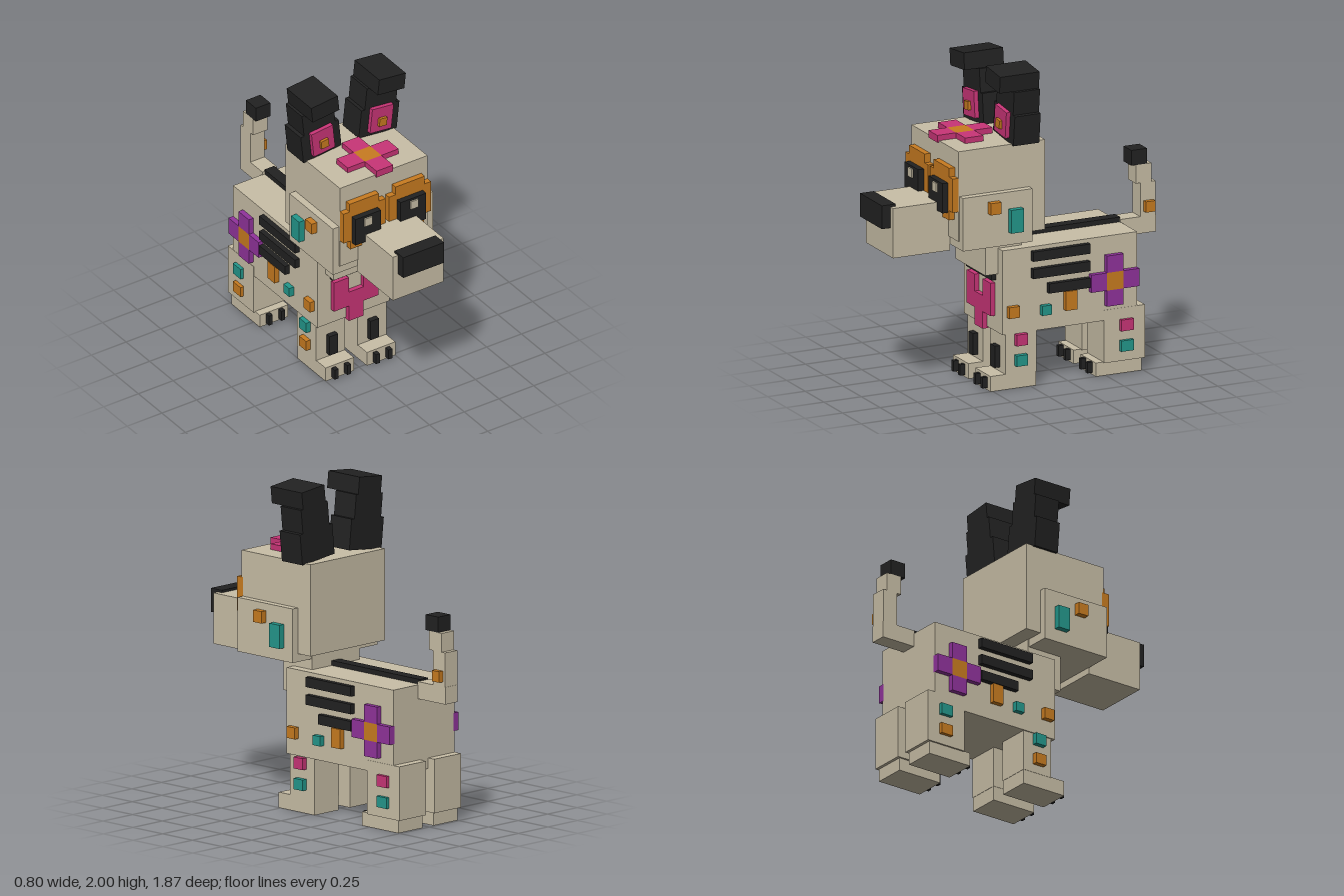
import * as THREE from 'three';

const mat = (name, color) => {
  const m = new THREE.MeshStandardMaterial({ color });
  m.name = name;
  return m;
};

export function createModel() {
  const tan = mat('tan', 0xc9bfa7);
  const black = mat('black', 0x222222);
  const orange = mat('orange', 0xc97c20);
  const pink = mat('pink', 0xc93577);
  const teal = mat('teal', 0x24988c);
  const purple = mat('purple', 0x91339c);

  const root = new THREE.Group();
  root.name = 'blockyHound';
  const group = (name, parent = root) => {
    const g = new THREE.Group();
    g.name = name;
    parent.add(g);
    return g;
  };
  // Box given by its extents along x, y and z
  const box = (parent, name, m, [x0, x1], [y0, y1], [z0, z1]) => {
    const geo = new THREE.BoxGeometry(Math.abs(x1 - x0), y1 - y0, z1 - z0);
    const mesh = new THREE.Mesh(geo, m);
    mesh.name = name;
    mesh.position.set((x0 + x1) / 2, (y0 + y1) / 2, (z0 + z1) / 2);
    parent.add(mesh);
    return mesh;
  };

  // Torso and neck
  const torso = group('torso');
  box(torso, 'body', tan, [-0.26, 0.26], [0.345, 0.87], [-0.705, 0.19]);
  box(torso, 'spineStripe', black, [-0.035, 0.035], [0.86, 0.9], [-0.705, 0.1]);
  box(torso, 'neck', tan, [-0.2, 0.2], [0.71, 0.99], [0.035, 0.275]);
  box(torso, 'collar', black, [-0.17, 0.17], [0.665, 0.712], [0.18, 0.22]);

  // Chest marking
  const chest = group('chestMark', torso);
  const cz = [0.18, 0.22];
  box(chest, 'chestBar', pink, [-0.16, 0.16], [0.44, 0.54], cz);
  box(chest, 'chestStem', pink, [-0.053, 0.053], [0.333, 0.44], cz);
  for (const s of [-1, 1]) box(chest, 'chestProng', pink, [s * 0.053, s * 0.16], [0.54, 0.645], cz);

  // Head, muzzle and cheeks
  const head = group('head');
  box(head, 'skull', tan, [-0.315, 0.315], [0.985, 1.545], [-0.065, 0.512]);
  box(head, 'cheeks', tan, [-0.36, 0.36], [0.935, 1.265], [0.04, 0.503]);
  box(head, 'snout', tan, [-0.183, 0.183], [0.895, 1.205], [0.5, 0.88]);
  box(head, 'nose', black, [-0.147, 0.147], [1.075, 1.22], [0.845, 0.937]);

  // Forehead flower
  const flower = group('foreheadFlower', head);
  const fy = [1.535, 1.58];
  box(flower, 'flowerCentre', orange, [-0.06, 0.06], fy, [0.28, 0.4]);
  box(flower, 'petalBack', pink, [-0.06, 0.06], fy, [0.157, 0.28]);
  box(flower, 'petalFront', pink, [-0.06, 0.06], fy, [0.4, 0.525]);
  for (const s of [-1, 1]) box(flower, 'petalSide', pink, [s * 0.06, s * 0.183], fy, [0.28, 0.4]);

  for (const s of [-1, 1]) {
    const side = s > 0 ? 'left' : 'right';
    const sx = (a, b) => [s * a, s * b];

    // Eye patch, eye and glint
    const eye = group(side + 'Eye', head);
    box(eye, 'patchMiddle', orange, sx(0.012, 0.315), [1.17, 1.38], [0.5, 0.55]);
    box(eye, 'patchTop', orange, sx(0.06, 0.27), [1.38, 1.435], [0.5, 0.55]);
    box(eye, 'patchBottom', orange, sx(0.06, 0.265), [1.11, 1.17], [0.5, 0.55]);
    box(eye, 'eyeBlock', black, sx(0.07, 0.255), [1.155, 1.34], [0.54, 0.588]);
    box(eye, 'glint', tan, sx(0.138, 0.193), [1.27, 1.325], [0.58, 0.598]);

    // Cheek spots
    box(head, side + 'CheekSpot', orange, sx(0.35, 0.398), [1.147, 1.22], [0.265, 0.335]);
    box(head, side + 'CheekBar', teal, sx(0.35, 0.398), [1.015, 1.16], [0.115, 0.2]);

    // Ear: three tiers leaning outward
    const ear = group(side + 'Ear', head);
    ear.position.set(s * 0.197, 1.535, 0);
    ear.rotation.z = -s * 0.105;
    const ez = [-0.017, 0.155];
    box(ear, 'earBase', black, [-0.137, 0.137], [0.016, 0.205], ez);
    box(ear, 'earMiddle', black, [-0.113, 0.113], [0.205, 0.352], ez);
    box(ear, 'earTip', black, [-0.096, 0.096], [0.352, 0.457], [-0.017, 0.245]);
    box(ear, 'innerEar', pink, [-0.077, 0.077], [0.047, 0.212], [0.15, 0.182]);
    box(ear, 'innerEarSpot', orange, [-0.027, 0.027], [0.09, 0.143], [0.175, 0.2]);

    // Flank stripes, spots and flower
    const flank = group(side + 'Flank', torso);
    const fx = sx(0.25, 0.293);
    box(flank, 'stripeTop', black, fx, [0.785, 0.845], [-0.38, 0]);
    box(flank, 'stripeMiddle', black, fx, [0.677, 0.737], [-0.38, 0]);
    box(flank, 'stripeBottom', black, fx, [0.573, 0.633], [-0.38, -0.105]);
    box(flank, 'spotFront', orange, fx, [0.45, 0.52], [0.09, 0.16]);
    box(flank, 'spotMiddle', teal, fx, [0.44, 0.5], [-0.122, -0.06]);
    box(flank, 'spotRear', orange, fx, [0.45, 0.57], [-0.292, -0.217]);
    box(flank, 'flowerCentre', orange, fx, [0.54, 0.65], [-0.6, -0.49]);
    box(flank, 'petalFront', purple, fx, [0.54, 0.65], [-0.49, -0.386]);
    box(flank, 'petalRear', purple, fx, [0.54, 0.65], [-0.706, -0.6]);
    box(flank, 'petalTop', purple, fx, [0.65, 0.755], [-0.6, -0.49]);
    box(flank, 'petalBottom', purple, fx, [0.44, 0.54], [-0.6, -0.49]);

    // Legs with feet, toes and outer spots
    const front = group(side + 'FrontLeg');
    box(front, 'leg', tan, sx(0.045, 0.253), [0.09, 0.35], [-0.038, 0.167]);
    box(front, 'foot', tan, sx(0.047, 0.251), [0, 0.095], [-0.036, 0.265]);
    box(front, 'shinMark', black, sx(0.117, 0.177), [0.12, 0.255], [0.16, 0.2]);
    const hind = group(side + 'HindLeg');
    box(hind, 'leg', tan, sx(0.035, 0.262), [0.08, 0.41], [-0.757, -0.485]);
    box(hind, 'foot', tan, sx(0.047, 0.251), [0, 0.085], [-0.738, -0.435]);
    for (const [leg, toeZ, spotZ] of [[front, 0.265, 0.032], [hind, -0.435, -0.672]]) {
      for (const x of [0.09, 0.18])
        box(leg, 'toe', black, sx(x, x + 0.027), [0.013, 0.08], [toeZ - 0.01, toeZ + 0.033]);
      const z = [spotZ, spotZ + (leg === front ? 0.075 : 0.083)];
      box(leg, 'upperSpot', s > 0 ? pink : teal, sx(0.24, 0.285), [0.27, 0.34], z);
      box(leg, 'lowerSpot', s > 0 ? teal : orange, sx(0.24, 0.285), [0.143, 0.21], z);
    }
  }

  // Tail
  const tail = group('tail');
  const tx = [-0.052, 0.052];
  box(tail, 'tailBase', tan, tx, [0.785, 0.89], [-0.935, -0.7]);
  box(tail, 'tailMiddle', tan, tx, [0.89, 1.1], [-0.933, -0.83]);
  box(tail, 'tailUpper', tan, tx, [1.1, 1.215], [-0.905, -0.8]);
  box(tail, 'tailTip', black, tx, [1.215, 1.31], [-0.875, -0.77]);
  box(tail, 'tailSpot', orange, [0.04, 0.083], [0.92, 0.987], [-0.915, -0.853]);

  return root;
}
